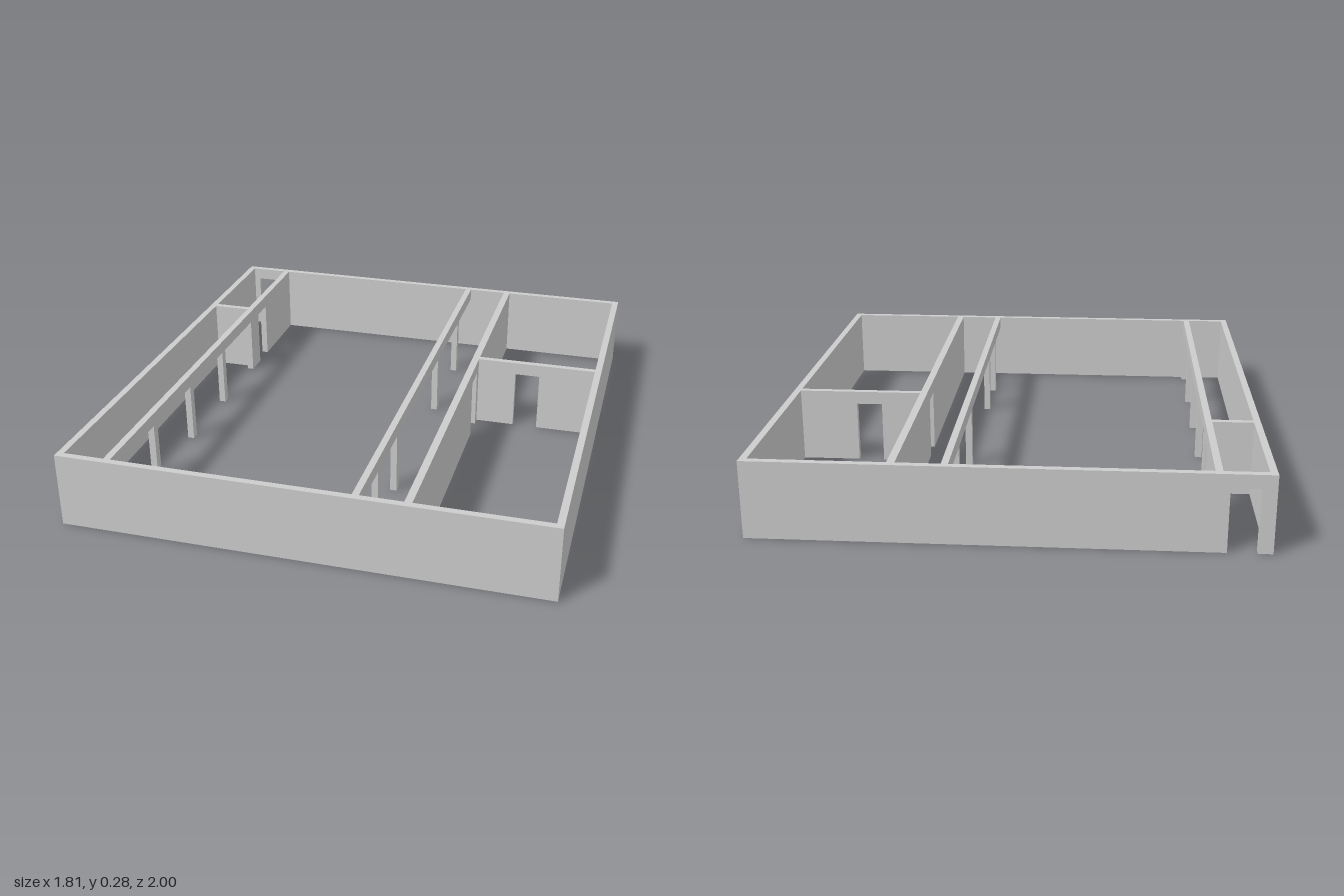
import * as THREE from 'three';

const HEIGHT = 0.285;   // full wall height
const LINTEL = 0.235;   // underside of beams above openings

// A wall running from a to b along x or z, with openings [start, end] cut up from the floor.
function wall(name, axis, a, b, near, far, openings = []) {
  const shape = new THREE.Shape();
  shape.moveTo(a, 0);
  for (const [s, e] of openings) {
    if (s > a) shape.lineTo(s, 0);
    shape.lineTo(s, LINTEL);
    shape.lineTo(e, LINTEL);
    if (e < b) shape.lineTo(e, 0);
  }
  if (!openings.length || openings.at(-1)[1] < b) shape.lineTo(b, 0);
  else shape.lineTo(b, LINTEL);
  shape.lineTo(b, HEIGHT);
  shape.lineTo(a, HEIGHT);
  if (openings.length && openings[0][0] <= a) shape.curves.shift();

  const geo = new THREE.ExtrudeGeometry(shape, { depth: far - near, bevelEnabled: false });
  if (axis === 'x') geo.translate(0, 0, near);
  else geo.rotateY(-Math.PI / 2).translate(far, 0, 0);
  const mesh = new THREE.Mesh(geo, new THREE.MeshStandardMaterial({ color: 0xcccccc }));
  mesh.name = name;
  return mesh;
}

// Gaps left between a row of square posts
function gapsBetween(start, end, posts, half = 0.016) {
  const edges = [start, ...posts.flatMap((p) => [p - half, p + half]), end];
  const gaps = [];
  for (let i = 0; i < edges.length; i += 2) gaps.push([edges[i], edges[i + 1]]);
  return gaps;
}

export function createModel() {
  const model = new THREE.Group();
  model.name = 'floorPlan';
  const X = 0.905, XI = 0.879, Z = 1, ZI = 0.974;

  // Outer walls, with a doorway at the back of the corridor
  model.add(
    wall('frontWall', 'x', -X, X, ZI, Z),
    wall('backWall', 'x', -X, X, -Z, -ZI, [[-0.853, -0.75]]),
    wall('leftWall', 'z', -ZI, ZI, XI, X),
    wall('rightWall', 'z', -ZI, ZI, -X, -XI),
  );

  // Corridor side: a solid back part with a door, then an open colonnade
  model.add(
    wall('corridorColonnade', 'z', -ZI, ZI, -0.726, -0.7,
      [[-0.63, -0.53], ...gapsBetween(-0.434, 0.936, [-0.1, 0.25, 0.6])]),
    wall('corridorCrossWall', 'x', -XI, -0.726, -0.488, -0.463),
  );

  // Beam on four posts beside the courtyard
  model.add(wall('courtyardColonnade', 'z', -ZI, ZI, 0.19, 0.215,
    gapsBetween(-ZI, ZI, [-0.68, -0.27, 0.437, 0.71])));

  // Two rooms joined by doors
  model.add(
    wall('roomWall', 'z', -ZI, ZI, 0.372, 0.4, [[-0.17, -0.07]]),
    wall('roomCrossWall', 'x', 0.4, XI, -0.23, -0.205, [[0.555, 0.655]]),
  );
  return model;
}
